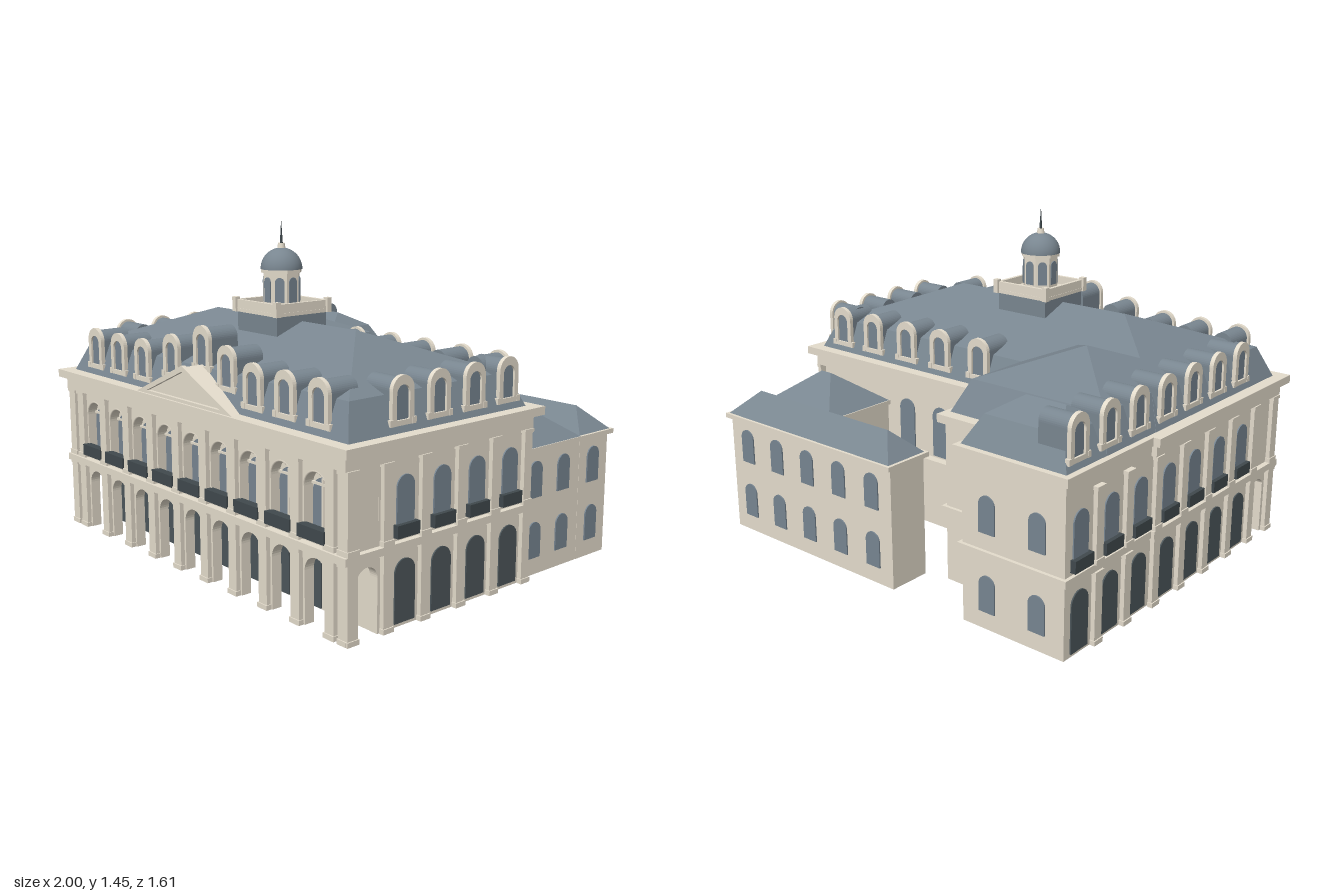
import * as THREE from 'three';

const mat = (name, color) => {
  const m = new THREE.MeshStandardMaterial({ color });
  m.name = name;
  return m;
};
const STEP = 0.1935; // bay spacing shared by arcade, windows and dormers

export function createModel() {
  const model = new THREE.Group();
  model.name = 'townHall';
  const stone = mat('stone', 0xe4dccc), slate = mat('slate', 0x798690);
  const glass = mat('glass', 0x778591), door = mat('darkDoor', 0x4c565a), iron = mat('iron', 0x40494d);
  stone.side = THREE.DoubleSide; // the wall shells are open below

  const add = (parent, name, geo, m, x = 0, y = 0, z = 0) => {
    const mesh = new THREE.Mesh(geo, m);
    mesh.name = name;
    mesh.position.set(x, y, z);
    parent.add(mesh);
    return mesh;
  };
  // Box given by its limits
  const box = (name, m, x0, x1, y0, y1, z0, z1, parent = model) =>
    add(parent, name, new THREE.BoxGeometry(x1 - x0, y1 - y0, z1 - z0), m, (x0 + x1) / 2, (y0 + y1) / 2, (z0 + z1) / 2);
  // Four walls without floor or ceiling
  const walls = (name, x0, x1, y1, z0, z1) => {
    const geo = box(name, stone, x0, x1, 0, y1, z0, z1).geometry;
    geo.setIndex([...geo.index.array].filter((_, i) => i < 12 || i >= 24));
    geo.clearGroups();
  };
  // Round-headed outline, its sill at y0
  const arch = (w, y0, y1, cx = 0, Type = THREE.Shape) => {
    const s = new Type(), r = w / 2;
    s.moveTo(cx - r, y0);
    s.lineTo(cx + r, y0);
    s.lineTo(cx + r, y1 - r);
    s.absarc(cx, y1 - r, r, 0, Math.PI, false);
    s.lineTo(cx - r, y0);
    return s;
  };
  // Wall standing on piers, with arches open to the ground
  const arcade = (x0, x1, y1, centres, w, top) => {
    const s = new THREE.Shape(), r = w / 2;
    s.moveTo(x0, 0);
    for (const c of centres) {
      s.lineTo(c - r, 0);
      s.lineTo(c - r, top - r);
      s.absarc(c, top - r, r, Math.PI, 0, true);
      s.lineTo(c + r, 0);
    }
    s.lineTo(x1, 0);
    s.lineTo(x1, y1);
    s.lineTo(x0, y1);
    return s;
  };
  const extrude = (shape, depth) => new THREE.ExtrudeGeometry(shape, { depth, bevelEnabled: false, curveSegments: 10 });
  const rect = (x0, x1, y0, y1, Type = THREE.Shape) =>
    new Type([[x0, y0], [x1, y0], [x1, y1], [x0, y1]].map(p => new THREE.Vector2(...p)));
  // Horizontal moulding running round a block
  const stringCourse = (name, x0, x1, z0, z1) => {
    const s = rect(x0, x1, -z1, -z0);
    s.holes.push(rect(x0 + 0.03, x1 - 0.03, -z1 + 0.03, -z0 - 0.045, THREE.Path));
    add(model, name, extrude(s, 0.03).rotateX(-Math.PI / 2), stone, 0, 0.305, 0);
  };
  // Group whose local +z looks out of a wall
  const facing = (name, x, y, z, angle) => {
    const g = new THREE.Group();
    g.name = name;
    g.position.set(x, y, z);
    g.rotation.y = angle;
    model.add(g);
    return g;
  };
  // Roof from stacked rectangles [x0, x1, z0, z1, y]
  const roof = (name, rings) => {
    const pos = [];
    const corners = ([x0, x1, z0, z1, y]) => [[x0, y, z1], [x1, y, z1], [x1, y, z0], [x0, y, z0]];
    for (let i = 0; i < rings.length - 1; i++) {
      const a = corners(rings[i]), b = corners(rings[i + 1]);
      for (let k = 0; k < 4; k++) {
        const n = (k + 1) % 4;
        pos.push(...a[k], ...a[n], ...b[n], ...a[k], ...b[n], ...b[k]);
      }
    }
    const geo = new THREE.BufferGeometry();
    geo.setAttribute('position', new THREE.Float32BufferAttribute(pos, 3));
    geo.computeVertexNormals();
    add(model, name, geo, slate);
  };

  // Main block, with the upper floor carried forward over an open arcade
  walls('mainBlock', -0.95, 0.95, 0.7, -0.2, 0.6);
  box('upperFrontRooms', stone, -0.95, 0.95, 0.3, 0.7, 0.601, 0.7);
  stringCourse('mainString', -0.975, 0.975, -0.24, 0.78);
  box('frieze', stone, -0.968, 0.968, 0.645, 0.7, -0.235, 0.775);
  box('mainCornice', stone, -1, 1, 0.7, 0.735, -0.265, 0.8);

  // Rear wings: west pair tall, east pair low
  const wing = (name, x0, x1, z0) => {
    walls(name, x0, x1, 0.7, z0, -0.2);
    stringCourse(name + 'String', x0 - 0.015, x1 + 0.015, z0 - 0.015, -0.19);
    box(name + 'Cornice', stone, x0 - 0.025, x1 + 0.025, 0.7, 0.735, z0 - 0.025, -0.2);
  };
  wing('westWing', -0.945, -0.455, -0.782);
  wing('westLink', -0.454, -0.175, -0.565);
  walls('serviceWing', -0.07, 0.935, 0.53, -0.782, -0.59);
  box('serviceWingEaves', stone, -0.085, 0.95, 0.53, 0.55, -0.805, -0.57);
  walls('serviceLink', 0.525, 0.934, 0.53, -0.59, -0.2);
  box('serviceLinkEaves', stone, 0.51, 0.949, 0.53, 0.55, -0.6, -0.2);

  // Roofs
  roof('mainRoof', [[-0.945, 0.945, -0.21, 0.74, 0.735], [-0.885, 0.885, -0.155, 0.685, 0.87], [-0.465, 0.465, 0.267, 0.268, 1.032]]);
  roof('westLinkRoof', [[-0.944, -0.175, -0.535, 0.2, 0.735], [-0.884, -0.235, -0.47, 0.19, 0.87], [-0.56, -0.559, -0.14, -0.139, 0.997]]);
  roof('westWingRoof', [[-0.943, -0.448, -0.78, -0.4, 0.735], [-0.883, -0.51, -0.715, -0.465, 0.85], [-0.797, -0.61, -0.591, -0.59, 0.915]]);
  roof('serviceWingRoof', [[-0.07, 0.938, -0.792, -0.583, 0.55], [0.035, 0.835, -0.688, -0.687, 0.65]]);
  roof('serviceLinkRoof', [[0.515, 0.945, -0.578, -0.205, 0.55], [0.7, 0.76, -0.392, -0.391, 0.69]]);

  // Front screen: open arches below, deep window arches above
  const bays = [-4, -3, -2, -1, 0, 1, 2, 3, 4].map(i => i * STEP);
  const screen = arcade(-0.95, 0.95, 0.66, bays, 0.125, 0.277);
  for (const x of bays) screen.holes.push(arch(0.13, 0.345, 0.602, x, THREE.Path));
  add(model, 'frontScreen', extrude(screen, 0.045), stone, 0, 0, 0.7);
  for (const x of bays) {
    const g = facing('frontBay', x, 0, 0, 0);
    add(g, 'arcadeDoor', extrude(arch(0.125, 0.005, 0.277), 0.006), door, 0, 0, 0.601);
    add(g, 'frontWindow', extrude(arch(0.118, 0.345, 0.572), 0.006), glass, 0, 0, 0.701);
    box('mullion', stone, -0.006, 0.006, 0.345, 0.57, 0.7, 0.712, g);
    box('transom', stone, -0.06, 0.06, 0.542, 0.552, 0.7, 0.712, g);
    add(g, 'windowHood', new THREE.TorusGeometry(0.068, 0.005, 4, 14, Math.PI), stone, 0, 0.537, 0.743);
    box('balcony', iron, -0.075, 0.075, 0.35, 0.4, 0.735, 0.772, g);
  }

  // Arched ends of the arcade
  for (const x of [-0.95, 0.91]) {
    const g = facing('arcadeEnd', x, 0, 0, Math.PI / 2);
    add(g, 'endArch', extrude(arcade(-0.71, -0.595, 0.305, [-0.653], 0.103, 0.268), 0.04), stone);
  }

  // Pilasters with base and capital on both storeys
  const pilaster = (x, z, angle, w = 0.05) => {
    const g = facing('pilaster', x, 0, z, angle);
    for (const [y0, y1] of [[0, 0.305], [0.335, 0.645]]) {
      box('shaft', stone, -w / 2, w / 2, y0, y1, 0.001, 0.02, g);
      box('base', stone, -w / 2 - 0.004, w / 2 + 0.004, y0, y0 + 0.02, 0.001, 0.025, g);
      box('capital', stone, -w / 2 - 0.004, w / 2 + 0.004, y1 - 0.015, y1, 0.001, 0.024, g);
    }
  };
  for (const s of [-1, 1]) {
    for (let i = 0; i < 5; i++) pilaster(s * (i + 0.5) * STEP, 0.745, 0);
    pilaster(s * 0.94, 0.745, 0, 0.04);
    pilaster(s * 0.95, 0.74, s * Math.PI / 2, 0.05);
    for (let i = 0; i < 5; i++) pilaster(s * 0.95, 0.567 - i * STEP, s * Math.PI / 2, 0.045);
  }
  for (let i = 5; i < 7; i++) pilaster(-0.945, 0.567 - i * STEP, -Math.PI / 2, 0.045);

  // Tall window, with a balcony and a door below on the street sides
  const bay = (x, z, angle, hasDoor = true, hasBalcony = true) => {
    const g = facing('wallBay', x, 0, z, angle);
    if (hasDoor) add(g, 'sideDoor', extrude(arch(0.104, 0.015, 0.262), 0.006), door, 0, 0, 0.001);
    add(g, 'sideWindow', extrude(arch(0.09, 0.345, 0.582), 0.006), glass, 0, 0, 0.001);
    if (hasBalcony) box('sideBalcony', iron, -0.057, 0.057, 0.35, 0.4, 0.001, 0.025, g);
  };
  // Plain two-storey windows
  const plainWindows = (x, z, angle, lift = 0) => {
    const g = facing('plainBay', x, 0, z, angle);
    add(g, 'lowerWindow', extrude(arch(0.078, 0.075, 0.23), 0.006), glass, 0, 0, 0.001);
    add(g, 'upperWindow', extrude(arch(0.078, 0.335 + lift, 0.49 + lift), 0.006), glass, 0, 0, 0.001);
  };

  // Dormer: slate barrel, stone front, arched pane
  const dormer = (x, y, z, angle) => {
    const g = facing('dormer', x, y, z, angle);
    add(g, 'dormerBarrel', extrude(arch(0.092, 0, 0.175), 0.14), slate, 0, 0, -0.15);
    const frame = arch(0.11, 0, 0.185);
    frame.holes.push(arch(0.066, 0.02, 0.15, 0, THREE.Path));
    add(g, 'dormerFrame', extrude(frame, 0.018), stone, 0, 0, -0.015);
    add(g, 'dormerPane', extrude(arch(0.068, 0.018, 0.152), 0.006), glass, 0, 0, -0.012);
    for (const s of [-1, 1]) box('dormerFoot', stone, s * 0.056 - 0.01, s * 0.056 + 0.01, 0, 0.025, -0.015, 0.005, g);
  };

  for (let i = 0; i < 7; i++) {
    const z = 0.467 - i * STEP;
    if (i < 4) {
      bay(0.95, z, Math.PI / 2);
      dormer(0.935, 0.76, z, Math.PI / 2);
    }
    bay(i < 4 ? -0.95 : -0.945, z, -Math.PI / 2);
    dormer(-0.935, 0.76, z, -Math.PI / 2);
  }
  bays.forEach((x, i) => {
    const k = Math.min(Math.abs(i - 4), 2);
    dormer(x, [0.855, 0.8, 0.76][k], [0.69, 0.71, 0.73][k], 0);
  });
  for (const x of [-0.035, 0.19, 0.395, 0.61, 0.81]) {
    dormer(x, 0.76, -0.205, Math.PI);
    if (x < 0.5) bay(x, -0.2, Math.PI, false, x < 0);
  }
  for (const z of [-0.3, -0.48, -0.68]) plainWindows(z < -0.6 ? 0.935 : 0.934, z, Math.PI / 2);
  for (let i = 0; i < 5; i++) plainWindows(0.04 + i * 0.197, -0.782, Math.PI);
  for (const x of [-0.82, -0.58]) plainWindows(x, -0.782, Math.PI, 0.07);

  // Pediment with raised rakes
  const tri = (w, y0, y1) => new THREE.Shape([new THREE.Vector2(-w, y0), new THREE.Vector2(w, y0), new THREE.Vector2(0, y1)]);
  add(model, 'pediment', extrude(tri(0.32, 0.735, 0.88), 0.11), stone, 0, 0, 0.665);
  const rake = tri(0.335, 0.735, 0.887);
  rake.holes.push(tri(0.26, 0.748, 0.862));
  add(model, 'pedimentRake', extrude(rake, 0.02), stone, 0, 0, 0.77);

  // Cupola
  const cupola = facing('cupola', 0, 0, 0.27, 0);
  box('cupolaPlinth', slate, -0.133, 0.133, 0.95, 1.06, -0.133, 0.133, cupola);
  box('cupolaTerrace', stone, -0.142, 0.142, 1.06, 1.075, -0.142, 0.142, cupola);
  for (let i = 0; i < 4; i++) {
    const side = new THREE.Group();
    side.name = 'parapetSide';
    side.rotation.y = i * Math.PI / 2;
    cupola.add(side);
    box('parapet', stone, -0.14, 0.14, 1.07, 1.112, 0.124, 0.14, side);
    box('parapetPost', stone, 0.126, 0.15, 1.06, 1.122, 0.126, 0.15, side);
  }
  const octagon = (name, r, y0, y1) => {
    const geo = new THREE.CylinderGeometry(r, r, y1 - y0, 8).rotateY(Math.PI / 8).toNonIndexed();
    geo.computeVertexNormals();
    add(cupola, name, geo, stone, 0, (y0 + y1) / 2, 0);
  };
  octagon('drum', 0.08, 1.07, 1.235);
  octagon('drumCornice', 0.089, 1.228, 1.242);
  for (let i = 0; i < 8; i++) {
    const pane = add(cupola, 'drumWindow', extrude(arch(0.04, 1.105, 1.21), 0.078), glass);
    pane.rotation.y = i * Math.PI / 4;
  }
  add(cupola, 'dome', new THREE.SphereGeometry(0.089, 24, 10, 0, Math.PI * 2, 0, Math.PI / 2), slate, 0, 1.242, 0);
  add(cupola, 'lantern', new THREE.CylinderGeometry(0.014, 0.018, 0.025, 12), stone, 0, 1.338, 0);
  add(cupola, 'spire', new THREE.ConeGeometry(0.007, 0.11, 8), iron, 0, 1.395, 0);

  return model;
}
